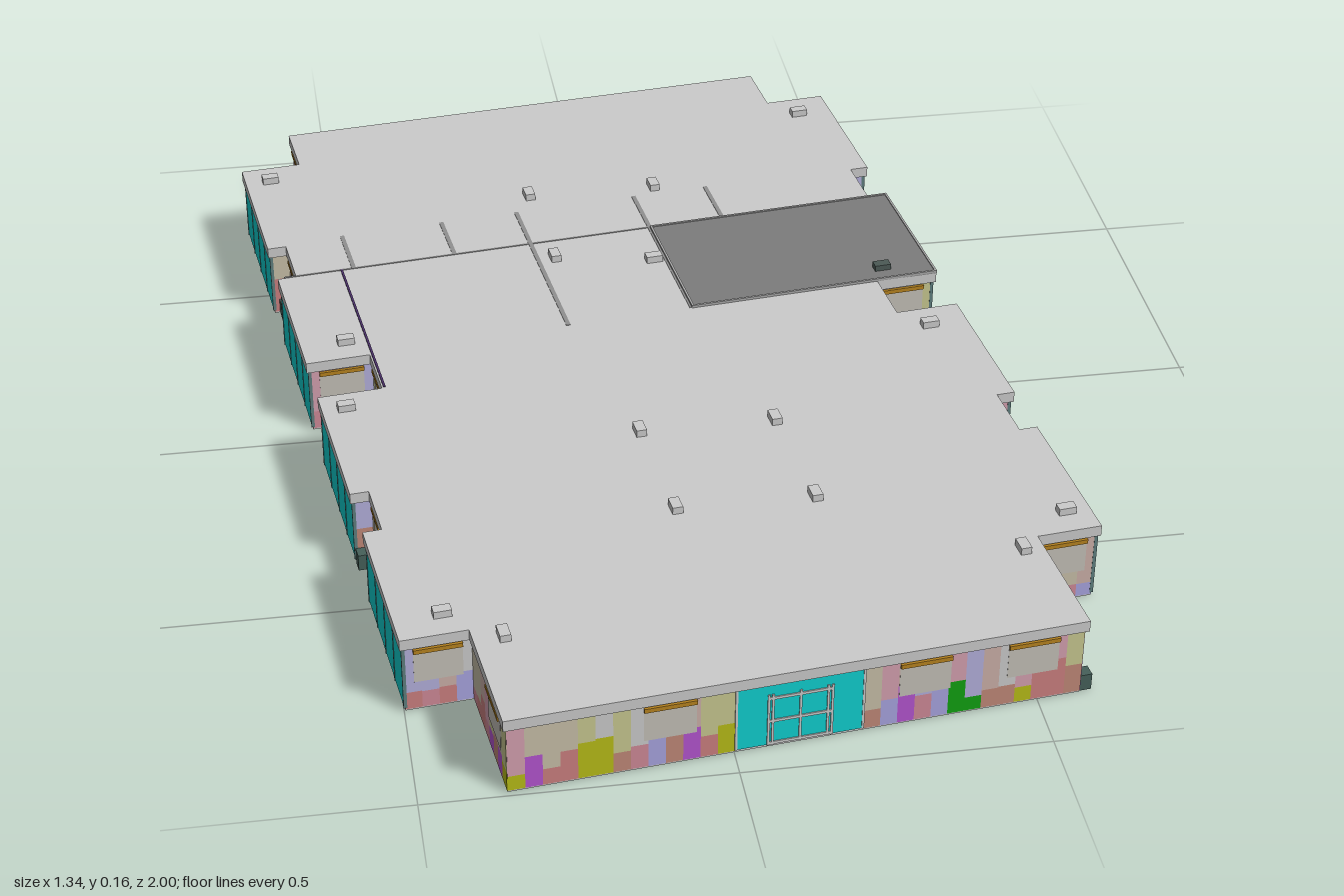
import * as THREE from 'three';

const WALL = 0.125, ROOF = 0.145, TURN = 0.112;
const CYAN = 0x10d0d0, GREY = 0xcccccc, DARK = 0x7c7c7c;
const PALE = [0xc8bfa8, 0xccb0a8, 0xc4c4c4, 0xb4b0dc, 0xd4a0b0, 0xc8c890];
const BRIGHT = [0xcc8080, 0xd08a98, 0x12a012, 0xb454d0, 0xa8a4e0, 0xc08878, 0xb8bc18, 0xcc8080];

// Plan: breaks along the length, and the half width of each bay between them
const BREAKS = [-0.914, -0.797, -0.5, -0.39, -0.098, 0.012, 0.31, 0.42, 0.717, 0.95];
const HALF = [0.475, 0.587, 0.553, 0.587, 0.473, 0.587, 0.555, 0.587, 0.475];

const cube = new THREE.BoxGeometry(1, 1, 1);
const mats = new Map();
function material(color) {
  if (!mats.has(color)) mats.set(color, new THREE.MeshStandardMaterial({ color, flatShading: true }));
  return mats.get(color);
}

// Box given by its size, the middle of its base, and a colour
function box(parent, name, [w, h, d], [x, y, z], color = GREY) {
  const m = new THREE.Mesh(cube, material(color));
  m.name = name;
  m.scale.set(w, h, d);
  m.position.set(x, y + h / 2, z);
  parent.add(m);
  return m;
}

let seed = 7;
function rand() {
  seed = (seed * 16807) % 2147483647;
  return seed / 2147483647;
}
const pick = (list) => list[Math.floor(rand() * list.length)];

// Stepped outline, pulled in by an inset
function outline(inset) {
  const right = [];
  const n = HALF.length;
  for (let i = 0; i < n; i++) {
    const start = i === 0 || HALF[i - 1] < HALF[i] ? inset : -inset;
    const end = i === n - 1 || HALF[i + 1] < HALF[i] ? -inset : inset;
    right.push([HALF[i] - inset, BREAKS[i] + start], [HALF[i] - inset, BREAKS[i + 1] + end]);
  }
  const left = right.map(([x, z]) => [-x, z]).reverse();
  return [...right, ...left];
}

function slab(name, inset, y, height, color) {
  const shape = new THREE.Shape(outline(inset).map(([x, z]) => new THREE.Vector2(x, -z)));
  const geo = new THREE.ExtrudeGeometry(shape, { depth: height, bevelEnabled: false });
  geo.rotateX(-Math.PI / 2).translate(0, y, 0);
  const mesh = new THREE.Mesh(geo, material(color));
  mesh.name = name;
  return mesh;
}

// Painted columns: a pale one to the eaves with a brighter one at its foot
function mural(wall, from, to) {
  const count = Math.max(1, Math.round((to - from) / 0.028));
  const w = (to - from) / count;
  for (let i = 0; i < count; i++) {
    const x = from + (i + 0.5) * w;
    const foot = 0.025 + rand() * 0.05;
    box(wall, 'paintFoot', [w, foot, 0.002], [x, 0.003, 0], pick(BRIGHT));
    box(wall, 'paintTop', [w, WALL - foot - 0.003, 0.002], [x, foot + 0.003, 0], pick(PALE));
  }
}

// Plain panel with a golden blind box along its top
function highWindow(wall, x, width) {
  box(wall, 'windowPanel', [width, 0.065, 0.003], [x, 0.055, 0], 0xc4c0b8);
  box(wall, 'blindBox', [width, 0.008, 0.008], [x, 0.113, 0.002], 0xb88420);
}

function glazing(wall, length) {
  const panes = 4, w = length / panes;
  for (let i = 0; i < panes; i++)
    box(wall, 'glassPane', [w - 0.003, 0.115, 0.004], [(i + 0.5) * w - length / 2, 0.008, 0], CYAN);
  for (let i = 0; i <= panes; i++)
    box(wall, 'mullion', [0.003, 0.119, 0.006], [i * w - length / 2, 0.006, 0], 0x5f7f7f);
}

// Glazed entrance with a pair of framed doors
function entrance(wall) {
  box(wall, 'entranceGlass', [0.21, 0.12, 0.004], [0, 0.005, 0], CYAN);
  for (const x of [-0.052, -0.045, 0, 0.045, 0.052])
    box(wall, 'doorPost', [0.004, 0.1, 0.008], [x, 0.005, 0]);
  for (const y of [0.006, 0.05, 0.095])
    box(wall, 'doorRail', [0.104, 0.005, 0.008], [0, y, 0]);
  for (const x of [-0.104, 0.104])
    box(wall, 'entranceJamb', [0.004, 0.12, 0.006], [x, 0.005, 0]);
}

export function createModel() {
  const model = new THREE.Group();
  model.name = 'building';
  const site = new THREE.Group();
  site.name = 'site';
  site.rotation.y = TURN;
  model.add(site);

  site.add(slab('wallCore', 0.006, 0, WALL, GREY));
  site.add(slab('roofFascia', 0, WALL, ROOF - WALL, GREY));

  // Finish every face of the stepped wall
  const pts = outline(0.006);
  pts.forEach(([x0, z0], i) => {
    const [x1, z1] = pts[(i + 1) % pts.length];
    const length = Math.hypot(x1 - x0, z1 - z0);
    const nx = (z1 - z0) / length, nz = -(x1 - x0) / length;
    const wall = new THREE.Group();
    wall.name = 'wallFace';
    wall.position.set((x0 + x1) / 2, 0, (z0 + z1) / 2);
    wall.rotation.y = Math.atan2(nx, nz);
    site.add(wall);
    const h = length / 2;
    if (length > 0.5) {
      mural(wall, -h, -0.105);
      mural(wall, 0.105, h);
      for (const x of [-0.21, 0.205, 0.385]) highWindow(wall, x, 0.085);
      entrance(wall);
    } else if (Math.abs(nx) > 0.5 && length > 0.27) {
      glazing(wall, length);
    } else {
      mural(wall, -h, h);
      if (length > 0.2) highWindow(wall, 0.04, 0.085);
      else if (length > 0.08 && Math.abs(nz) > 0.5) highWindow(wall, 0, 0.08);
      else if (length > 0.08) {
        highWindow(wall, -0.015, 0.06);
        box(wall, 'smallWindow', [0.025, 0.03, 0.005], [0.03, 0.08, 0], CYAN);
      }
    }
  });

  // Dark roof deck over one wing, with its rim
  box(site, 'darkDeck', [0.467, 0.004, 0.292], [0.3545, ROOF - 0.001, -0.244], DARK);
  for (const x of [0.122, 0.586])
    box(site, 'deckRim', [0.004, 0.006, 0.292], [x, ROOF - 0.001, -0.244], 0xaaaaaa);
  for (const z of [-0.388, -0.1])
    box(site, 'deckRim', [0.467, 0.006, 0.004], [0.3545, ROOF - 0.001, z], 0xaaaaaa);

  // Thin roof joints
  box(site, 'crossJoint', [1.15, 0.002, 0.004], [0, ROOF - 0.001, -0.392], 0x909090);
  for (const [x, z0, z1] of [[-0.11, -0.51, -0.1], [0.12, -0.51, -0.1], [-0.445, -0.51, -0.39],
    [-0.255, -0.51, -0.39], [0.262, -0.51, -0.39]])
    box(site, 'roofJoint', [0.008, 0.002, z1 - z0], [x, ROOF - 0.001, (z0 + z1) / 2], 0x909090);
  box(site, 'purpleJoint', [0.004, 0.003, 0.4], [-0.468, ROOF - 0.001, -0.19], 0x4a3068);

  // Roof vents and ground-level boxes, placed in the model's own axes
  const placed = (name, size, pos, color) => {
    box(model, name, size, pos, color).rotation.y = TURN;
  };
  for (const [x, z] of [[-0.62, -0.68], [0.435, -0.79], [-0.52, -0.09], [0.52, 0.01], [-0.535, 0.12],
    [-0.43, 0.72], [0.615, 0.6], [0.065, -0.285]])
    placed('roofVent', [0.03, 0.013, 0.018], [x, ROOF, z]);
  for (const [x, z] of [[-0.135, -0.55], [0.105, -0.55], [-0.115, -0.32], [-0.045, 0.265], [0.19, 0.265],
    [-0.02, 0.495], [0.215, 0.495], [-0.34, 0.79], [0.52, 0.69]])
    placed('roofVent', [0.018, 0.013, 0.03], [x, ROOF, z]);
  placed('darkVent', [0.03, 0.012, 0.018], [0.475, ROOF + 0.002, -0.19], 0x4c5a56);
  for (const [x, z] of [[-0.57, -0.842], [-0.612, -0.427], [-0.532, 0.38], [0.58, 0.872]])
    placed('utilityBox', [0.022, 0.03, 0.022], [x, 0, z], 0x46605a);
  placed('sidePost', [0.008, 0.06, 0.03], [0.562, 0, 0.675], 0x909090);
  placed('bollard', [0.012, 0.03, 0.012], [0.21, 0, -0.993], 0x3c3c3c);
  return model;
}
